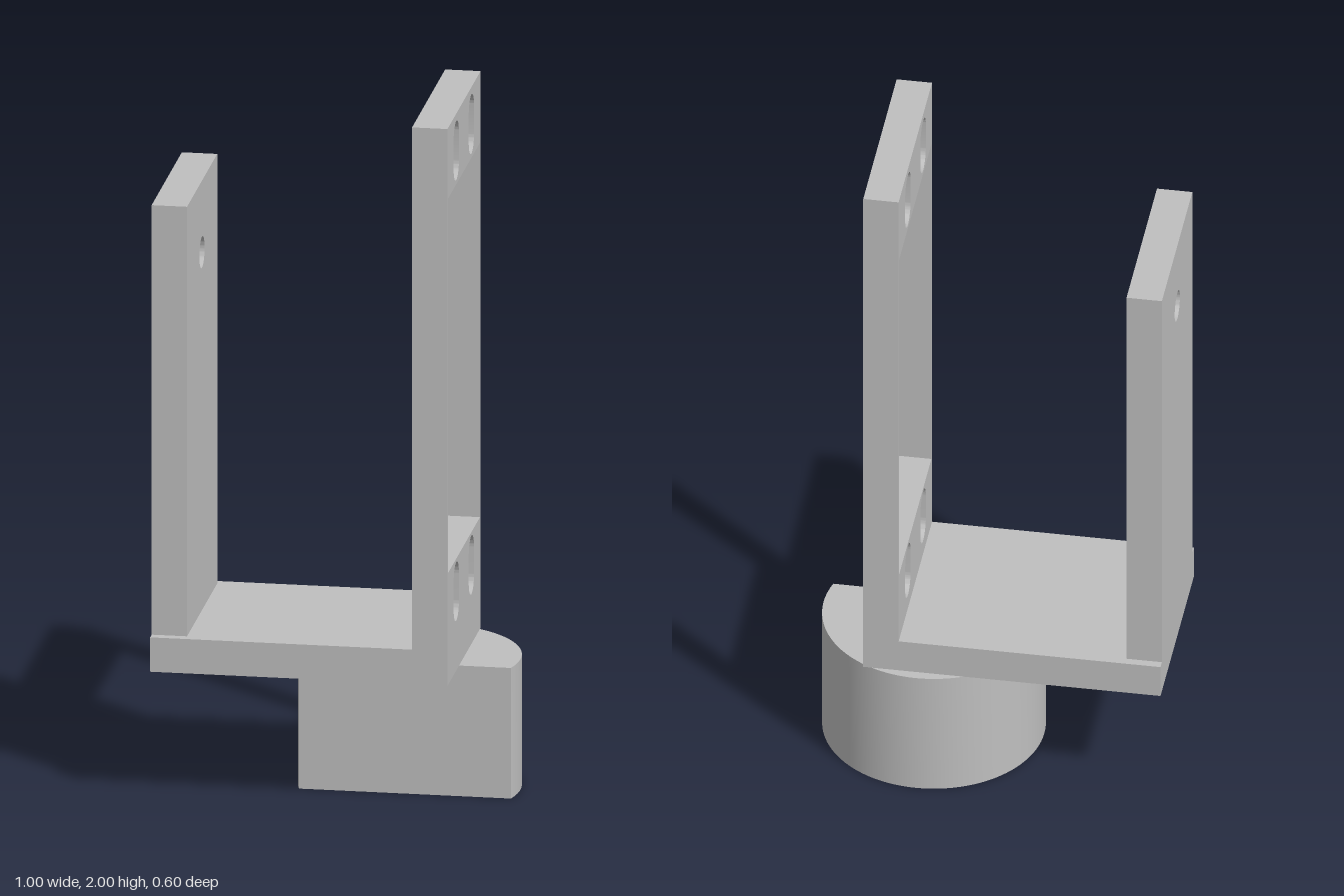
import * as THREE from 'three';
import { toCreasedNormals } from 'three/addons/utils/BufferGeometryUtils.js';

const metal = new THREE.MeshStandardMaterial({ color: 0xbfbfbf });
metal.name = 'plain grey';

// Outlines and cut-outs
function rect(u0, u1, v0, v1, Type = THREE.Shape) {
  return new Type([[u0, v0], [u1, v0], [u1, v1], [u0, v1]].map(([u, v]) => new THREE.Vector2(u, v)));
}
function round(u, v, r) {
  return new THREE.Path().absarc(u, v, r, 0, Math.PI * 2, true);
}
function slot(u, v0, v1, r) {
  const p = new THREE.Path();
  p.absarc(u, v1 - r, r, 0, Math.PI, false);
  p.absarc(u, v0 + r, r, Math.PI, Math.PI * 2, false);
  p.closePath();
  return p;
}

function extrude(shape, depth) {
  return new THREE.ExtrudeGeometry(shape, { depth, bevelEnabled: false, curveSegments: 32 });
}
function part(name, geometry) {
  const mesh = new THREE.Mesh(toCreasedNormals(geometry, 0.5), metal);
  mesh.name = name;
  return mesh;
}
// Upright plate: outline drawn in (-z, y), thickness along +x
function upright(name, shape, x, thickness) {
  return part(name, extrude(shape, thickness).rotateY(Math.PI / 2).translate(x, 0, 0));
}

export function createModel() {
  const group = new THREE.Group();
  group.name = 'bracket';

  // Floor joining the two uprights
  const floor = new THREE.BoxGeometry(0.74, 0.1, 0.57).translate(-0.13, 0.43, 0.0135);
  group.add(part('floor', floor));

  // Tall open frame with a large window and four mounting slots
  const frame = rect(-0.2985, 0.2715, 0.38, 2);
  frame.holes.push(rect(-0.288, 0.261, 0.705, 1.795, THREE.Path));
  for (const u of [-0.147, 0.113]) {
    frame.holes.push(slot(u, 0.525, 0.695, 0.046), slot(u, 1.807, 1.979, 0.046));
  }
  group.add(upright('mountingFrame', frame, 0.24, 0.1));

  // Shorter plate with a pivot hole
  const plate = rect(-0.272, 0.248, 0.48, 1.73);
  plate.holes.push(round(-0.015, 1.522, 0.045));
  group.add(upright('pivotPlate', plate, -0.5, 0.1));

  // Round boss under the floor, cut flat at the front, with two screw holes
  const cx = 0.187, cz = 0.012, r = 0.312;
  const a = Math.asin((0.1 - cz) / r);
  const boss = new THREE.Shape();
  boss.absarc(cx, -cz, r, -a, Math.PI + a, false);
  boss.closePath();
  for (const z of [-0.005, -0.195]) boss.holes.push(round(cx, -z, 0.047));
  group.add(part('boss', extrude(boss, 0.38).rotateX(-Math.PI / 2)));

  return group;
}
